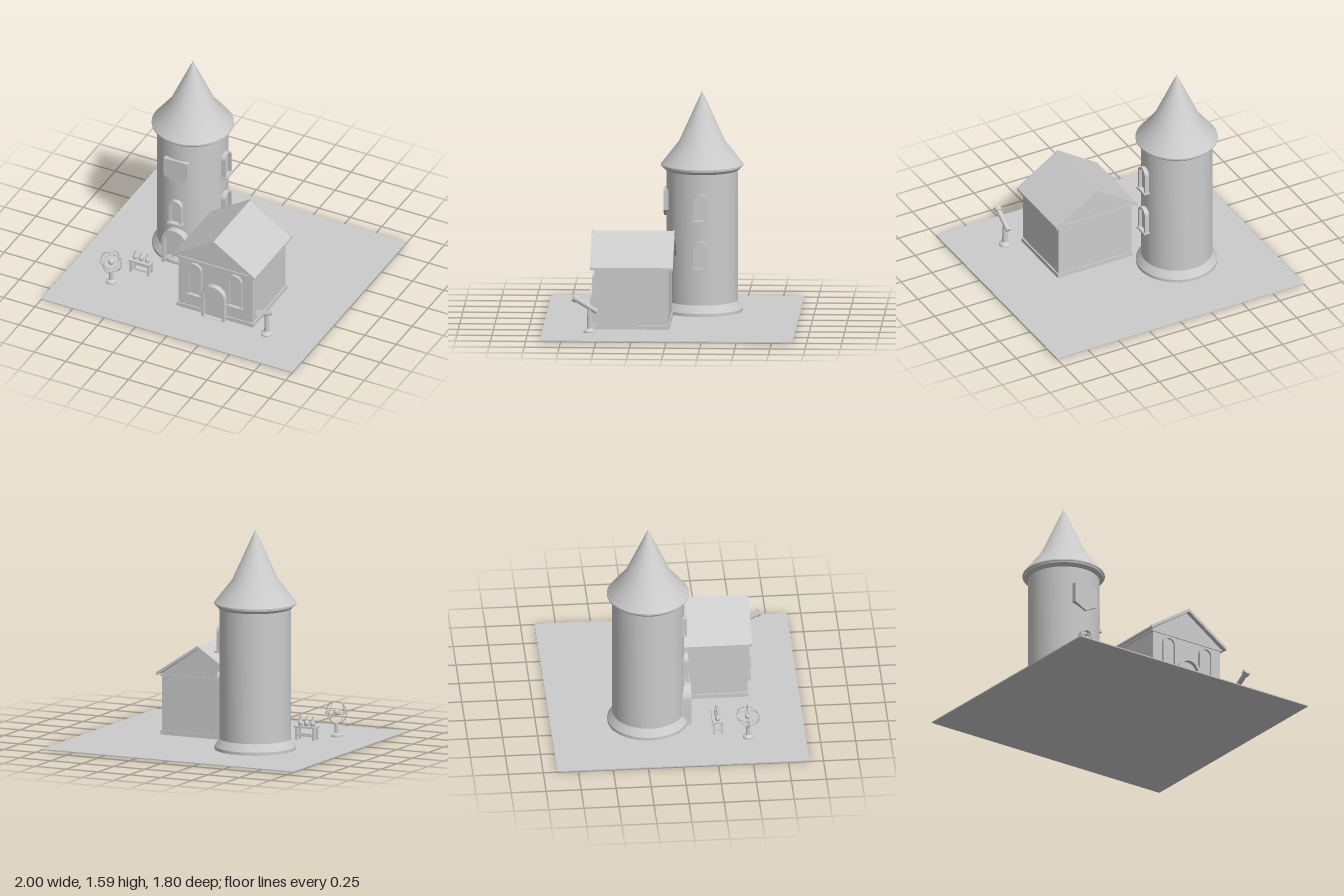
import * as THREE from 'three';
import { toCreasedNormals } from 'three/addons/utils/BufferGeometryUtils.js';

const stone = new THREE.MeshStandardMaterial({ color: 0xcccccc });
stone.name = 'pale grey';

function add(parent, name, geometry, x = 0, y = 0, z = 0) {
  const mesh = new THREE.Mesh(geometry, stone);
  mesh.name = name;
  mesh.position.set(x, y, z);
  parent.add(mesh);
  return mesh;
}

function group(parent, name, x = 0, y = 0, z = 0) {
  const g = new THREE.Group();
  g.name = name;
  g.position.set(x, y, z);
  parent.add(g);
  return g;
}

const box = (w, h, d) => new THREE.BoxGeometry(w, h, d);

// Turned solid from [radius, height] pairs, bottom to top
function turned(points, segments = 32) {
  const profile = points.map(([r, y]) => new THREE.Vector2(r, y));
  return toCreasedNormals(new THREE.LatheGeometry(profile, segments), 0.4);
}

function extrude(shape, depth) {
  const g = new THREE.ExtrudeGeometry(shape, { depth, bevelEnabled: false, curveSegments: 16 });
  return toCreasedNormals(g, 0.5);
}

function polygon(points) {
  return new THREE.Shape(points.map(([x, y]) => new THREE.Vector2(x, y)));
}

// Round-headed outline standing on y = base
function arch(Kind, w, h, base = 0) {
  const r = w / 2;
  const s = new Kind();
  s.moveTo(-r, base);
  s.lineTo(r, base);
  s.lineTo(r, h - r);
  s.absarc(0, h - r, r, 0, Math.PI, false);
  s.lineTo(-r, base);
  return s;
}

// Arched opening: frame, recessed panel and optional sill; the wall is at z = 0
function opening(parent, name, w, h, rim, back, front, panelFront, sill) {
  const g = group(parent, name);
  const frame = arch(THREE.Shape, w, h);
  frame.holes.push(arch(THREE.Path, w - 2 * rim, h - rim, sill ? 0.008 : 0.004));
  add(g, name + 'Frame', extrude(frame, front - back), 0, 0, back);
  add(g, name + 'Panel', extrude(arch(THREE.Shape, w - rim, h - rim / 2), panelFront - back), 0, 0, back);
  if (sill) add(g, name + 'Sill', box(w + 0.014, 0.014, front + 0.01 - back), 0, 0.004, (front + 0.01 + back) / 2);
  return g;
}

function buildTower(root) {
  const tower = group(root, 'tower', -0.35, 0, -0.2);
  add(tower, 'towerWall', turned([
    [0, 0.005], [0.29, 0.005], [0.29, 0.03], [0.255, 0.085], [0.255, 1.025],
    [0.265, 1.03], [0.282, 1.045], [0.285, 1.06], [0, 1.06],
  ], 64));
  add(tower, 'towerRoof', turned([
    [0, 1.058], [0.293, 1.058], [0.293, 1.066], [0.165, 1.23], [0, 1.592],
  ], 64));

  opening(tower, 'towerDoor', 0.19, 0.3, 0.02, -0.035, 0.048, 0.01, false).position.z = 0.255;
  opening(tower, 'frontWindow', 0.1, 0.2, 0.014, -0.015, 0.03, 0.006, true).position.set(0, 0.347, 0.255);
  for (const y of [0.347, 0.687]) {
    const w = opening(tower, 'sideWindow', 0.1, 0.2, 0.014, -0.015, 0.03, 0.006, true);
    w.position.set(0.255, y, 0);
    w.rotation.y = Math.PI / 2;
  }

  // Plain pointed shield above the door
  const shield = polygon([[-0.095, 0.745], [0, 0.695], [0.095, 0.745], [0.095, 0.89], [-0.095, 0.89]]);
  add(tower, 'shield', extrude(shield, 0.04), 0, 0, 0.232);
}

function buildHouse(root) {
  const house = group(root, 'house', 0.2, 0, 0);
  const wall = polygon([[-0.295, 0.005], [0.295, 0.005], [0.295, 0.455], [0, 0.652], [-0.295, 0.455]]);
  add(house, 'houseWalls', extrude(wall, 0.525), 0, 0, 0.005);
  add(house, 'plinth', box(0.61, 0.035, 0.54), 0, 0.0225, 0.268);
  add(house, 'cornice', box(0.61, 0.016, 0.54), 0, 0.437, 0.268);

  // Gable roof with slightly deeper boards at both ends
  const gable = (t, lift) => polygon([
    [0, 0.672 + lift], [-0.328, 0.456 + lift], [-0.328, 0.456 - t], [0, 0.672 - t],
    [0.328, 0.456 - t], [0.328, 0.456 + lift],
  ]);
  add(house, 'houseRoof', extrude(gable(0.016, 0), 0.58), 0, 0, -0.023);
  for (const z of [-0.028, 0.552]) add(house, 'gableBoard', extrude(gable(0.02, 0.004), 0.01), 0, 0, z);

  opening(house, 'houseDoor', 0.185, 0.275, 0.02, -0.01, 0.042, 0.012, false).position.set(0, 0.006, 0.53);
  for (const x of [-0.16, 0.16]) {
    opening(house, 'houseWindow', 0.115, 0.275, 0.016, -0.01, 0.02, 0.005, true).position.set(x, 0.143, 0.53);
  }
}

// Globe of rings around a small ball, on a turned stand
function buildArmillary(root) {
  const g = group(root, 'ringGlobe', -0.65, 0, 0.49);
  add(g, 'globeStand', turned([
    [0, 0.005], [0.037, 0.005], [0.037, 0.02], [0.016, 0.034], [0.014, 0.105], [0, 0.105],
  ]));
  const rings = [[0, 0, 0], [Math.PI / 2, 0, 0], [0, 1.3, 0]];
  for (const r of rings) {
    add(g, 'ring', new THREE.TorusGeometry(0.08, 0.004, 8, 48), 0, 0.185, 0).rotation.set(...r);
  }
  add(g, 'globeBall', new THREE.SphereGeometry(0.023, 24, 16), 0, 0.185, 0);
}

function buildTable(root) {
  const g = group(root, 'table', -0.517, 0, 0.28);
  add(g, 'tableTop', box(0.166, 0.014, 0.078), 0, 0.102, 0);
  for (const sx of [-1, 1]) {
    for (const sz of [-1, 1]) add(g, 'tableLeg', box(0.014, 0.09, 0.014), sx * 0.068, 0.05, sz * 0.028);
    add(g, 'tableEndRail', box(0.008, 0.01, 0.05), sx * 0.068, 0.04, 0);
  }
  for (const sz of [-1, 1]) add(g, 'tableRail', box(0.13, 0.01, 0.008), 0, 0.04, sz * 0.028);
  const bottle = turned([
    [0, 0], [0.014, 0], [0.019, 0.012], [0.018, 0.024], [0.007, 0.044], [0.006, 0.064], [0.008, 0.068], [0, 0.068],
  ], 20);
  for (const x of [-0.048, 0, 0.048]) add(g, 'bottle', bottle, x, 0.109, 0);
}

function buildTelescope(root) {
  const g = group(root, 'telescope', 0.627, 0, 0.56);
  add(g, 'telescopeStand', turned([
    [0, 0.005], [0.043, 0.005], [0.043, 0.018], [0.02, 0.036], [0.014, 0.2], [0, 0.2],
  ]));
  // Tube points forward and upward; local y runs along it
  const tube = add(g, 'telescopeTube', turned([
    [0, -0.09], [0.017, -0.09], [0.019, 0.075], [0.027, 0.075], [0.027, 0.105], [0, 0.105],
  ]), 0, 0.203, 0.025);
  tube.rotation.x = Math.PI / 2 - 0.55;
}

export function createModel() {
  const root = new THREE.Group();
  root.name = 'towerAndHouse';
  add(root, 'ground', box(2, 0.008, 1.8), 0, 0.004, 0);
  buildTower(root);
  buildHouse(root);
  buildArmillary(root);
  buildTable(root);
  buildTelescope(root);
  return root;
}
